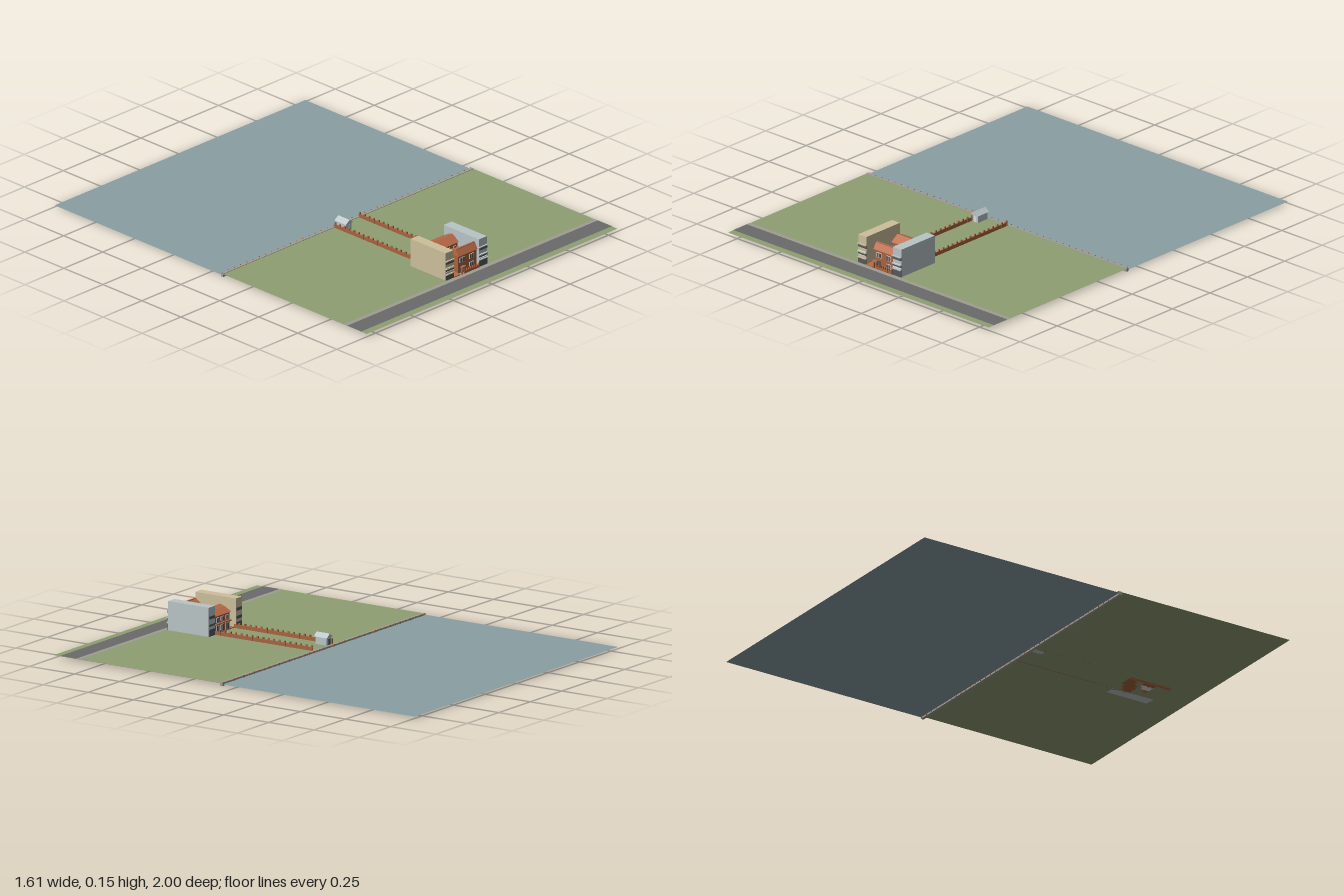
import * as THREE from 'three';

const mat = (name, color) => new THREE.MeshStandardMaterial({ name, color });

export function createModel() {
  const model = new THREE.Group();
  const water = mat('water', 0x8a9fa2);
  const grass = mat('grass', 0x8f9f72);
  const asphalt = mat('asphalt', 0x6a6a6a);
  const stone = mat('stone', 0xa09c94);
  const brick = mat('brick', 0xa8623f);
  const tile = mat('roofTile', 0xbb6b48);
  const tan = mat('tanRender', 0xcdbf9b);
  const pale = mat('paleRender', 0xb9c4c6);
  const glass = mat('darkGlass', 0x55595c);
  const white = mat('whiteTrim', 0xdcdcd6);
  water.side = grass.side = THREE.DoubleSide;

  // Box given by its low and high corners
  const box = (name, m, x0, x1, y0, y1, z0, z1, parent = model) => {
    const mesh = new THREE.Mesh(new THREE.BoxGeometry(x1 - x0, y1 - y0, z1 - z0), m);
    mesh.position.set((x0 + x1) / 2, (y0 + y1) / 2, (z0 + z1) / 2);
    mesh.name = name;
    parent.add(mesh);
    return mesh;
  };
  // Profile in (z, y) extruded from x0 to x1
  const prism = (name, m, points, x0, x1, parent = model) => {
    const shape = new THREE.Shape(points.map(([z, y]) => new THREE.Vector2(z, y)));
    const geo = new THREE.ExtrudeGeometry(shape, { depth: x1 - x0, bevelEnabled: false });
    geo.rotateY(-Math.PI / 2).translate(x1, 0, 0);
    const mesh = new THREE.Mesh(geo, m);
    mesh.name = name;
    parent.add(mesh);
  };
  const sheet = (name, m, y, z0, z1) => {
    const mesh = new THREE.Mesh(new THREE.PlaneGeometry(W * 2, z1 - z0).rotateX(-Math.PI / 2), m);
    mesh.position.set(0, y, (z0 + z1) / 2);
    mesh.name = name;
    model.add(mesh);
  };
  const group = (name) => {
    const g = new THREE.Group();
    g.name = name;
    model.add(g);
    return g;
  };

  // Land, water, road and quay
  const W = 0.807, G = 0.014;
  sheet('water', water, 0.008, -1, 0.07);
  sheet('lawn', grass, G, 0.075, 1);
  sheet('pavement', stone, G + 0.0012, 0.853, 0.875);
  sheet('road', asphalt, G + 0.001, 0.875, 0.965);
  const quay = group('quay');
  box('quayWall', stone, -W, W, 0, G + 0.002, 0.066, 0.08, quay);
  for (let i = 0; i <= 40; i++) {
    const x = -0.8 + i * 0.04;
    box('quayPost', brick, x - 0.002, x + 0.002, 0.002, 0.018, 0.063, 0.067, quay);
  }

  // Garden walls with capping posts
  for (const x of [-0.089, 0.069]) {
    const wall = group('gardenWall');
    box('wall', brick, x - 0.0025, x + 0.0025, G, 0.031, 0.08, 0.625, wall);
    for (let z = 0.085; z < 0.625; z += 0.03)
      box('wallPost', brick, x - 0.003, x + 0.003, G, 0.04, z - 0.004, z + 0.004, wall);
  }

  // Boathouse at the water, ridge running along z
  const boathouse = group('boathouse');
  box('boathouseBody', pale, -0.084, -0.048, G, 0.052, 0.085, 0.148, boathouse);
  box('boathouseDoor', glass, -0.074, -0.058, G, 0.042, 0.083, 0.086, boathouse);
  box('boathouseGardenDoor', white, -0.072, -0.06, G, 0.042, 0.147, 0.15, boathouse);
  const gable = new THREE.Shape([[-0.09, 0.05], [-0.042, 0.05], [-0.066, 0.068]].map((p) => new THREE.Vector2(...p)));
  const gableRoof = new THREE.Mesh(new THREE.ExtrudeGeometry(gable, { depth: 0.073, bevelEnabled: false }), pale);
  gableRoof.position.z = 0.08;
  gableRoof.name = 'boathouseRoof';
  boathouse.add(gableRoof);

  // Neighbouring blocks with banded street fronts
  const block = (name, m, x0, x1, bands) => {
    const g = group(name);
    box('body', m, x0, x1, G, 0.15, 0.62, 0.845, g);
    for (const [y0, y1] of bands) {
      box('windowBand', glass, x0, x1, y0, y1, 0.845, 0.848, g);
      box('rearWindowBand', glass, x0 + 0.004, x1 - 0.004, y0, y1, 0.618, 0.62, g);
      box('balconyEdge', m, x0 - 0.001, x1 + 0.001, y1, y1 + 0.004, 0.845, 0.853, g);
    }
    for (const y of [0.054, 0.072])
      box('sill', white, x0, x1, y, y + 0.003, 0.845, 0.85, g);
  };
  block('rightBlock', tan, -0.143, -0.094, [[G, 0.04], [0.054, 0.068], [0.092, 0.106]]);
  block('leftBlock', pale, 0.071, 0.122, [[G, 0.046], [0.06, 0.07], [0.094, 0.108]]);

  // Brick house: two ranges around a small court
  const house = group('house');
  const X0 = -0.052, X1 = 0.068;
  box('frontRange', brick, X0, X1, G, 0.105, 0.775, 0.832, house);
  box('rearRange', brick, X0, X1, G, 0.1, 0.625, 0.712, house);
  prism('frontRoof', tile, [[0.84, 0.102], [0.823, 0.13], [0.812, 0.13], [0.768, 0.102]], X0 - 0.003, X1, house);
  prism('rearRoof', tile, [[0.72, 0.098], [0.68, 0.126], [0.655, 0.118], [0.618, 0.098]], X0 - 0.003, X1, house);
  box('roofRidge', tile, X0 - 0.003, X1, 0.128, 0.133, 0.814, 0.822, house);
  box('courtWing', brick, X0, -0.032, G, 0.075, 0.71, 0.776, house);
  box('courtGallery', tile, 0.008, X1, G, 0.075, 0.71, 0.776, house);
  box('courtFloor', white, -0.032, 0.008, G, 0.022, 0.71, 0.776, house);
  box('sidePassage', tile, -0.092, X0, G, 0.018, 0.625, 0.85, house);

  // Windows: white frame plate, dark panes in front
  const windowAt = (x, y, w, h, z, dir) => {
    box('windowFrame', white, x - w / 2, x + w / 2, y, y + h, z - 0.0015, z + 0.0015, house);
    for (const s of [-1, 1]) {
      const cx = x + s * w * 0.23;
      box('windowPane', glass, cx - w * 0.16, cx + w * 0.16, y + 0.002, y + h - 0.002,
        z + dir * 0.002 - 0.001, z + dir * 0.002 + 0.001, house);
    }
  };
  for (const x of [-0.026, 0.035]) windowAt(x, 0.064, 0.03, 0.025, 0.833, 1);
  windowAt(0.035, 0.028, 0.03, 0.02, 0.833, 1);
  box('frontDoor', glass, -0.034, -0.018, G, 0.048, 0.832, 0.835, house);
  for (const x of [-0.03, 0.008, 0.046]) {
    windowAt(x, 0.066, 0.022, 0.022, 0.624, -1);
    windowAt(x, 0.018, 0.024, 0.034, 0.624, -1);
    windowAt(x, 0.06, 0.018, 0.024, 0.713, 1);
  }
  box('rearBalcony', tile, X0, X1, 0.056, 0.062, 0.614, 0.626, house);

  // Street fence, gate posts and paved front garden
  const fence = group('streetFence');
  box('frontGarden', stone, -0.01, X1, G, 0.0165, 0.832, 0.85, fence);
  box('fenceWall', brick, -0.025, X1, G, 0.026, 0.847, 0.852, fence);
  for (let i = 0; i < 7; i++) {
    const x = -0.012 + i * 0.013;
    box('fencePost', brick, x - 0.002, x + 0.002, G, 0.036, 0.8465, 0.8525, fence);
  }
  for (const x of [-0.042, -0.027]) box('gatePost', brick, x - 0.003, x + 0.003, G, 0.046, 0.846, 0.854, fence);
  box('gateRoof', tile, -0.048, -0.021, 0.046, 0.053, 0.844, 0.857, fence);

  return model;
}
